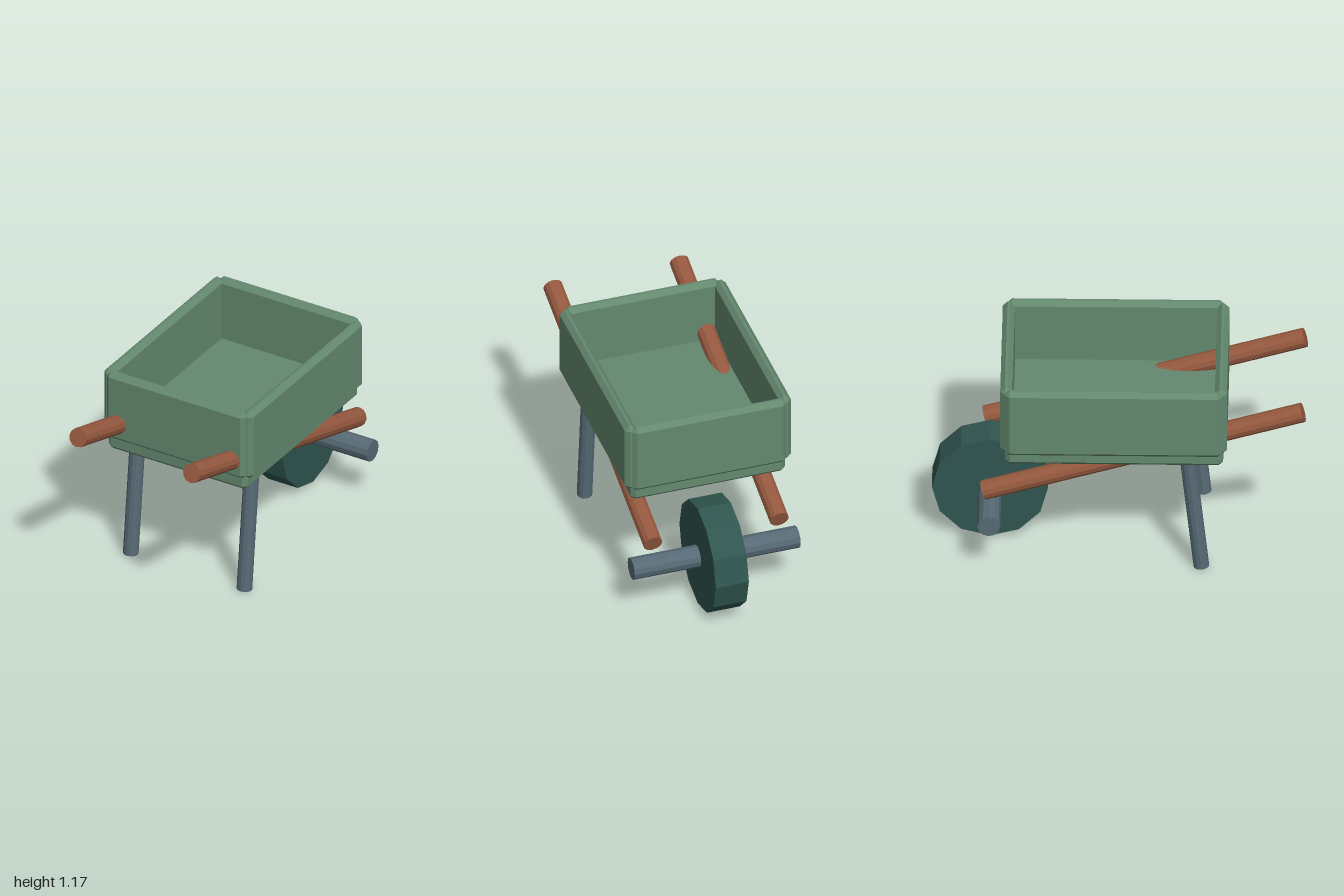
import * as THREE from 'three';
import { ConvexGeometry } from 'three/addons/geometries/ConvexGeometry.js';

const paint = (color) => new THREE.MeshStandardMaterial({ color, flatShading: true });

// Box with chamfered edges and corners, given by its min and max corners
function chamferBox(min, max, c = 0.025) {
  const half = max.map((v, i) => (v - min[i]) / 2);
  const points = [];
  for (const sx of [-1, 1]) for (const sy of [-1, 1]) for (const sz of [-1, 1]) {
    const s = [sx, sy, sz];
    for (let axis = 0; axis < 3; axis++) {
      points.push(new THREE.Vector3(...s.map((v, i) => v * (half[i] - (i === axis ? 0 : c)))));
    }
  }
  const geometry = new ConvexGeometry(points);
  geometry.translate(...max.map((v, i) => (v + min[i]) / 2));
  return geometry;
}

export function createModel() {
  const group = new THREE.Group();
  const green = paint(0x64896f);
  const wood = paint(0x96593f);
  const steel = paint(0x566a75);
  const darkGreen = paint(0x30554f);

  const add = (name, geometry, material) => {
    const mesh = new THREE.Mesh(geometry, material);
    mesh.name = name;
    group.add(mesh);
    return mesh;
  };

  // Straight round bar between two points
  const bar = (name, from, to, radius, material, sides = 12) => {
    const a = new THREE.Vector3(...from);
    const b = new THREE.Vector3(...to);
    const mesh = add(name, new THREE.CylinderGeometry(radius, radius, a.distanceTo(b), sides), material);
    mesh.position.copy(a).add(b).multiplyScalar(0.5);
    mesh.quaternion.setFromUnitVectors(new THREE.Vector3(0, 1, 0), b.sub(a).normalize());
  };

  // Tray: thick floor, front and back boards
  add('trayFloor', chamferBox([-0.435, 0.69, -0.605], [0.435, 0.81, 0.56]), green);
  add('trayFront', chamferBox([-0.435, 0.765, 0.515], [0.435, 1.175, 0.58]), green);
  add('trayBack', chamferBox([-0.435, 0.765, -0.63], [0.435, 1.175, -0.565]), green);

  for (const [side, s] of [['left', 1], ['right', -1]]) {
    // Side board, handle running under the tray, and leg
    const x = s * 0.434;
    add(side + 'TraySide', chamferBox([x - 0.0325, 0.765, -0.605], [x + 0.0325, 1.175, 0.555]), green);
    bar(side + 'Handle', [s * 0.355, 1.0, 0.985], [s * 0.355, 0.478, -0.722], 0.053, wood);
    bar(side + 'Leg', [s * 0.355, 0.005, 0.443], [s * 0.355, 0.74, 0.365], 0.042, steel);
  }

  // Wheel on its axle
  bar('axle', [-0.466, 0.317, -0.69], [0.466, 0.317, -0.69], 0.061, steel);
  bar('wheel', [-0.093, 0.317, -0.69], [0.093, 0.317, -0.69], 0.31, darkGreen);

  return group;
}
